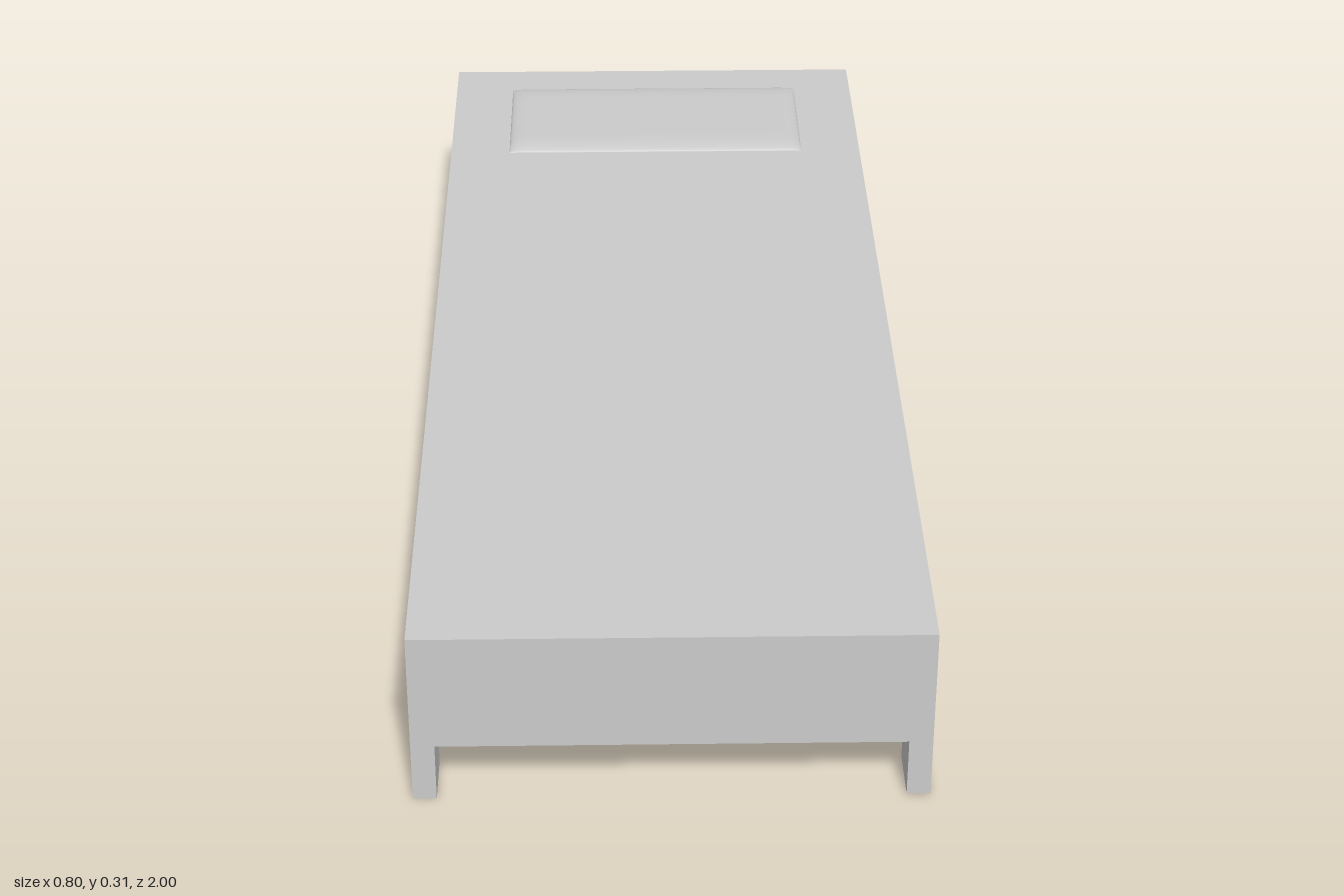
import * as THREE from 'three';

const material = new THREE.MeshStandardMaterial({ color: 0xcccccc });

function box(name, w, h, d, x, y, z) {
  const mesh = new THREE.Mesh(new THREE.BoxGeometry(w, h, d), material);
  mesh.name = name;
  mesh.position.set(x, y, z);
  return mesh;
}

// Height factor: 0 at the edge, rising along a quarter ellipse to 1 at distance r
function edgeRise(distance, r) {
  const t = 1 - Math.min(Math.max(distance / r, 0), 1);
  return Math.sqrt(1 - t * t);
}

// Low cushion with a rectangular outline and softly rounded edges
function createPillow(width, depth, height) {
  const geometry = new THREE.PlaneGeometry(2, 2, 40, 32).rotateX(-Math.PI / 2);
  const p = geometry.attributes.position;
  for (let i = 0; i < p.count; i++) {
    // Rows gather towards the rounded edges
    const x = Math.sin(p.getX(i) * Math.PI / 2) * width / 2;
    const z = Math.sin(p.getZ(i) * Math.PI / 2) * depth / 2;
    const y = height * edgeRise(width / 2 - Math.abs(x), 0.035) * edgeRise(depth / 2 - Math.abs(z), 0.06);
    p.setXYZ(i, x, y, z);
  }
  geometry.computeVertexNormals();
  const mesh = new THREE.Mesh(geometry, material);
  mesh.name = 'pillow';
  return mesh;
}

export function createModel() {
  const bed = new THREE.Group();
  bed.name = 'bed';

  // Mattress block
  bed.add(box('mattress', 0.8, 0.2, 2, 0, 0.2, 0));

  // Four corner legs
  const legW = 0.037, legH = 0.1, legD = 0.093;
  for (const sx of [-1, 1]) {
    for (const sz of [-1, 1]) {
      const name = (sz > 0 ? 'front' : 'back') + (sx > 0 ? 'Left' : 'Right') + 'Leg';
      bed.add(box(name, legW, legH, legD, sx * (0.4 - legW / 2), legH / 2, sz * (1 - legD / 2)));
    }
  }

  // Pillow at the head end
  const pillow = createPillow(0.572, 0.285, 0.01);
  pillow.position.set(0, 0.3005, -0.767);
  bed.add(pillow);

  return bed;
}
